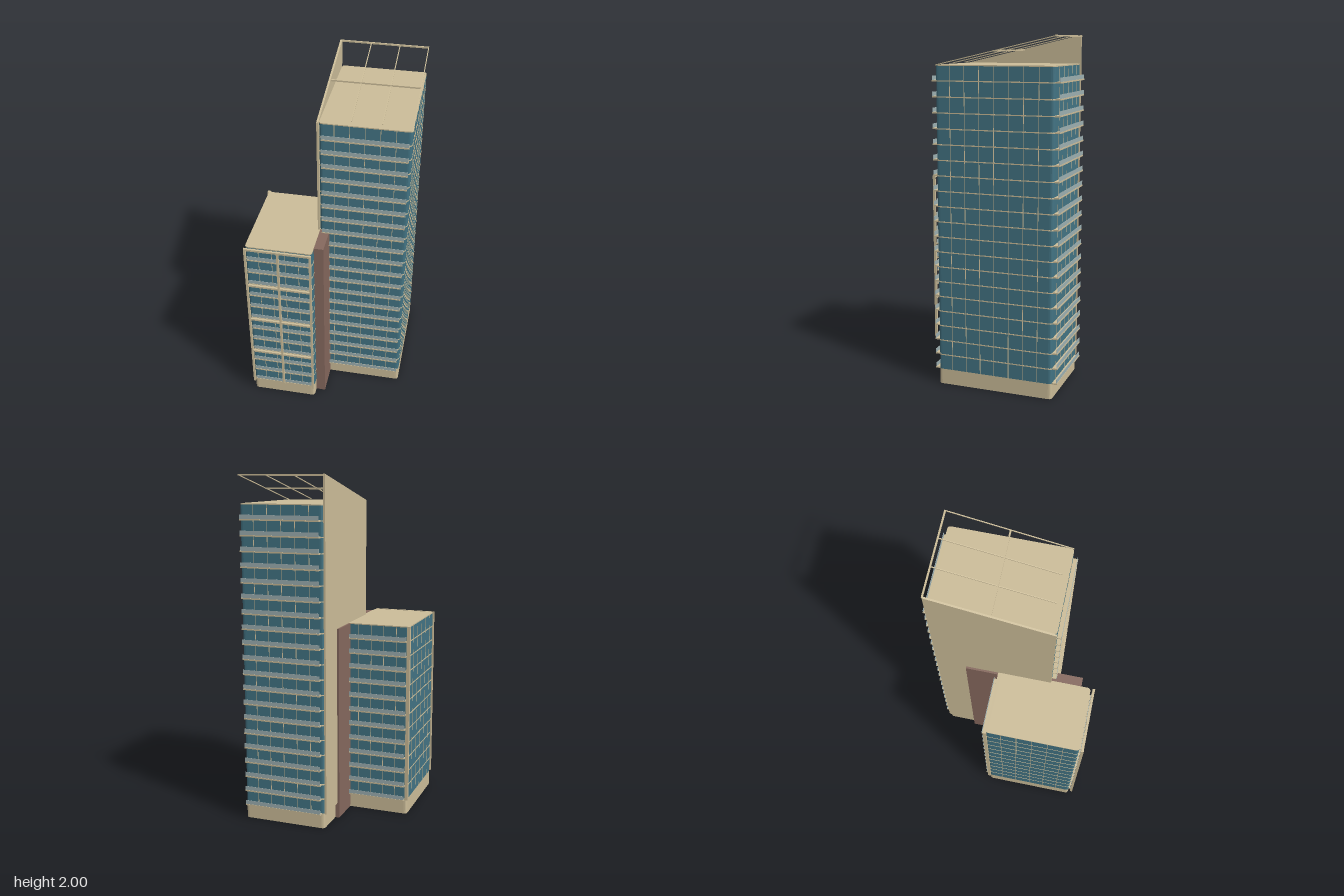
import * as THREE from 'three';

const mat = (color, extra = {}) => new THREE.MeshStandardMaterial({ color, ...extra });
const stone = mat(0xccbd99), glass = mat(0x437484), brick = mat(0x86695e), rail = mat(0x9db0b2);

const BASE = 0.09, FLOOR = 0.0875;

function add(parent, name, geometry, material) {
  const mesh = new THREE.Mesh(geometry, material);
  mesh.name = name;
  parent.add(mesh);
  return mesh;
}

// Box given by its minimum and maximum corners
function box(parent, name, material, [x0, x1], [y0, y1], [z0, z1]) {
  const m = add(parent, name, new THREE.BoxGeometry(x1 - x0, y1 - y0, z1 - z0), material);
  m.position.set((x0 + x1) / 2, (y0 + y1) / 2, (z0 + z1) / 2);
  return m;
}

// Rounded plan outline, grown or shrunk by an offset
function plan(PathType, [x0, x1], [z0, z1], r, grow = 0) {
  const a = x0 - grow, b = x1 + grow, c = -z1 - grow, d = -z0 + grow;
  const p = new PathType();
  p.moveTo(a + r, c).lineTo(b - r, c);
  p.quadraticCurveTo(b, c, b, c + r).lineTo(b, d - r);
  p.quadraticCurveTo(b, d, b - r, d).lineTo(a + r, d);
  p.quadraticCurveTo(a, d, a, d - r).lineTo(a, c + r);
  p.quadraticCurveTo(a, c, a + r, c);
  return p;
}

function prism(shape, y0, y1) {
  const g = new THREE.ExtrudeGeometry(shape, { depth: y1 - y0, bevelEnabled: false, curveSegments: 4 });
  return g.rotateX(-Math.PI / 2).translate(0, y0, 0);
}

function tower(name, { x, z, floors, ledgeX, ledgeZ, baysX, baysZ }) {
  const g = new THREE.Group();
  g.name = name;
  const r = 0.02, top = BASE + floors * FLOOR;

  // Hollow plinth, glazed body and roof
  const ring = plan(THREE.Shape, x, z, r);
  ring.holes.push(plan(THREE.Path, x, z, r, -0.004));
  add(g, 'plinth', prism(ring, 0, BASE), stone);
  add(g, 'floorPlate', prism(plan(THREE.Shape, x, z, r), BASE - 0.004, BASE), stone);
  add(g, 'glassBody', prism(plan(THREE.Shape, x, z, r), BASE, top - 0.006), glass);
  add(g, 'roof', prism(plan(THREE.Shape, x, z, r), top - 0.006, top), stone);

  // Floor bands, balcony ledges and railings
  for (let i = 0; i < floors; i++) {
    const y = BASE + i * FLOOR;
    if (i) add(g, 'floorBand', prism(plan(THREE.Shape, x, z, r, 0.0015), y - 0.003, y + 0.003), stone);
    box(g, 'balconyLedges', stone, ledgeX, [y - 0.004, y + 0.004], ledgeZ);
    for (const [a, b] of [[ledgeZ[1] - 0.004, ledgeZ[1] - 0.002], [ledgeZ[0] + 0.002, ledgeZ[0] + 0.004]])
      box(g, 'balconyRailing', rail, ledgeX, [y + 0.004, y + 0.027], [a, b]);
  }

  // Mullions on all four sides
  const t = 0.0015;
  for (let i = 1; i < baysX; i++) {
    const c = x[0] + (x[1] - x[0]) * i / baysX;
    box(g, 'mullion', stone, [c - t, c + t], [BASE, top], [z[0] - t, z[1] + t]).scale.y = 0.998;
  }
  for (let i = 1; i < baysZ; i++) {
    const c = z[0] + (z[1] - z[0]) * i / baysZ;
    box(g, 'mullion', stone, [x[0] - t, x[1] + t], [BASE, top], [c - t, c + t]).scale.y = 0.998;
  }
  return g;
}

// Square bar between two points
function bar(parent, name, from, to, size) {
  const a = new THREE.Vector3(...from), b = new THREE.Vector3(...to);
  const m = add(parent, name, new THREE.BoxGeometry(size, size, a.distanceTo(b)), stone);
  m.position.copy(a).add(b).multiplyScalar(0.5);
  m.lookAt(b);
}

export function createModel() {
  const model = new THREE.Group();
  model.name = 'twinTowerBuilding';

  const tall = tower('tallTower', {
    x: [-0.055, 0.441], z: [-0.458, 0.225], floors: 20,
    ledgeX: [-0.04, 0.43], ledgeZ: [-0.487, 0.252], baysX: 6, baysZ: 8,
  });
  const low = tower('lowTower', {
    x: [-0.438, -0.055], z: [-0.09, 0.458], floors: 12,
    ledgeX: [-0.425, -0.068], ledgeZ: [-0.116, 0.47], baysX: 5, baysZ: 6,
  });
  model.add(tall, low);

  // Side wall of the tall tower with its sloping top
  const wall = new THREE.Shape();
  wall.moveTo(-0.225, BASE).lineTo(0.46, BASE).lineTo(0.46, 2).lineTo(-0.225, 1.842).closePath();
  const wallGeo = new THREE.ExtrudeGeometry(wall, { depth: 0.011, bevelEnabled: false });
  add(tall, 'slopedSideWall', wallGeo.rotateY(Math.PI / 2).translate(-0.068, 0, 0), stone);

  // Sloping roof pergola
  const slopeY = z => 1.842 + (0.225 - z) * 0.155 / 0.685 - 0.004;
  const pergola = new THREE.Group();
  pergola.name = 'roofPergola';
  tall.add(pergola);
  for (const [px, front] of [[0.113, 0.19], [0.278, 0.19], [0.441, 0.224]])
    bar(pergola, 'rafter', [px, slopeY(front), front], [px, slopeY(-0.46), -0.46], 0.005);
  for (const pz of [-0.461, -0.117])
    bar(pergola, 'crossBeam', [-0.062, slopeY(pz), pz], [0.443, slopeY(pz), pz], 0.009);

  // Hollow service core between the towers
  const coreX = [-0.08, 0], coreZ = [-0.282, 0.402], coreTop = 1.138;
  const core = plan(THREE.Shape, coreX, coreZ, 0);
  core.holes.push(plan(THREE.Path, coreX, coreZ, 0, -0.004));
  add(model, 'serviceCore', prism(core, 0, coreTop), brick);
  box(model, 'coreRoof', brick, coreX, [coreTop - 0.004, coreTop], coreZ);

  // Frame in front of the low tower
  const frame = new THREE.Group();
  frame.name = 'frontFrame';
  low.add(frame);
  const frameTop = BASE + 12 * FLOOR;
  for (const px of [-0.434, -0.246, -0.061])
    box(frame, 'framePost', stone, [px - 0.006, px + 0.006], [BASE - 0.006, frameTop], [0.469, 0.484]);
  for (let i = 3; i <= 12; i += 3) {
    const y = BASE + i * FLOOR - 0.006;
    box(frame, 'frameBeam', stone, [-0.44, -0.055], [y - 0.006, y + 0.006], [0.47, 0.483]);
  }

  // Rear corner post of the low tower
  box(low, 'rearCornerPost', stone, [-0.446, -0.426], [BASE, frameTop], [-0.101, -0.082]);
  return model;
}
